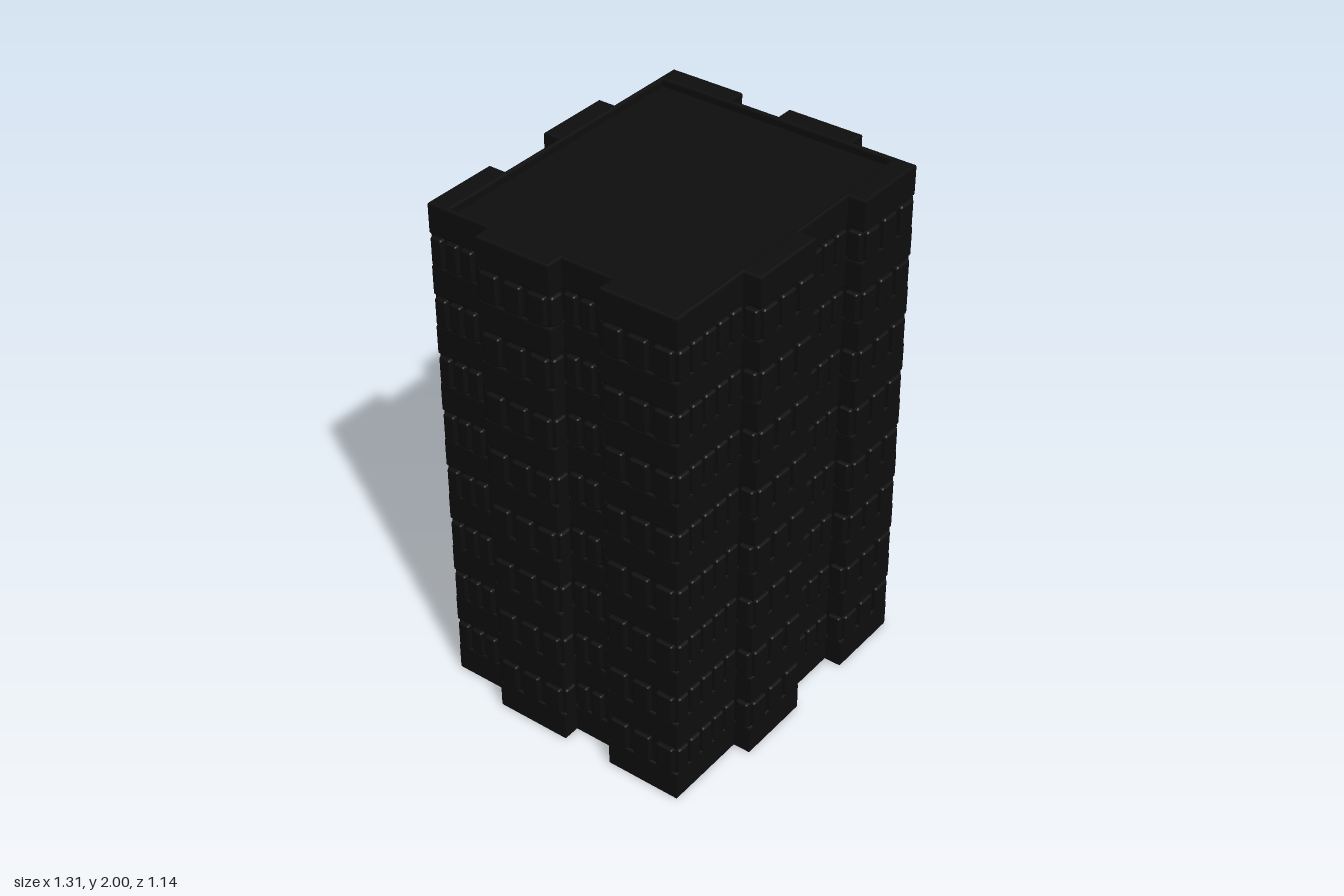
import * as THREE from 'three';
import { mergeGeometries } from 'three/addons/utils/BufferGeometryUtils.js';
import { RoundedBoxGeometry } from 'three/addons/geometries/RoundedBoxGeometry.js';

const BANDS = 17, BAND = 2 / BANDS;

// Half of the pinwheel footprint as [x, z, panels on the edge that starts here]
const HALF = [
  [-0.645, 0.495, 5], [-0.305, 0.495, 1], [-0.305, 0.562, 3], [-0.005, 0.562, 1],
  [-0.005, 0.495, 4], [0.275, 0.495, 1], [0.275, 0.562, 3],
  [0.58, 0.562, 4], [0.58, 0.305, 1], [0.645, 0.305, 3], [0.645, 0.005, 1],
  [0.58, 0.005, 3], [0.58, -0.195, 1], [0.645, -0.195, 3],
];
const OUTLINE = [...HALF, ...HALF.map(([x, z, n]) => [-x, -z, n])];

// Footprint slab with a small rounded edge, optionally inset or hollow
function slab(y0, y1, bevel, inset, hollow) {
  const shape = new THREE.Shape(OUTLINE.map(([x, z]) => new THREE.Vector2(x, -z)));
  if (hollow) {
    shape.holes.push(new THREE.Path([
      new THREE.Vector2(-0.56, -0.478), new THREE.Vector2(-0.56, 0.478),
      new THREE.Vector2(0.56, 0.478), new THREE.Vector2(0.56, -0.478),
    ]));
  }
  const geo = new THREE.ExtrudeGeometry(shape, {
    depth: y1 - y0 - 2 * bevel, bevelEnabled: true, bevelThickness: bevel,
    bevelSize: bevel, bevelOffset: -bevel - inset, bevelSegments: 2,
  });
  geo.rotateX(-Math.PI / 2);
  geo.translate(0, y0 + bevel, 0);
  return geo;
}

// One storey of pillow-edged panels all around the footprint
function panelRow() {
  const parts = [];
  OUTLINE.forEach(([x, z, n], i) => {
    const [x2, z2] = OUTLINE[(i + 1) % OUTLINE.length];
    const length = Math.hypot(x2 - x, z2 - z);
    const pitch = length / n;
    const nx = -(z2 - z) / length, nz = (x2 - x) / length;
    const width = pitch * (n === 3 ? 0.74 : 0.8);
    for (let k = 0; k < n; k++) {
      const t = (k + 0.5) / n;
      const geo = new RoundedBoxGeometry(width, BAND - 0.004, 0.04, 1, 0.01);
      geo.rotateY(Math.atan2(nx, nz));
      geo.translate(x + (x2 - x) * t - nx * 0.01, 0, z + (z2 - z) * t - nz * 0.01);
      parts.push(geo);
    }
  });
  return mergeGeometries(parts);
}

export function createModel() {
  const model = new THREE.Group();
  model.name = 'towerBlock';
  const material = new THREE.MeshStandardMaterial({ color: 0x0e0e0e });
  const add = (name, geo, y = 0) => {
    const mesh = new THREE.Mesh(geo, material);
    mesh.name = name;
    mesh.position.y = y;
    model.add(mesh);
  };

  // Inner walls, whose top is the sunken roof
  add('coreAndRoof', slab(0.01, 1.97, 0.001, 0.008, false));

  // Solid floor bands alternate with rows of panels
  const floorBand = slab(0, BAND, 0.007, 0, false);
  const panels = panelRow();
  for (let i = 0; i < BANDS - 1; i++) {
    if (i % 2 === 0) add('floorBand', floorBand, i * BAND);
    else add('windowPanels', panels, (i + 0.5) * BAND);
  }

  // Hollow top band around the roof
  add('parapet', slab(2 - BAND, 2, 0.007, 0, true));
  return model;
}
